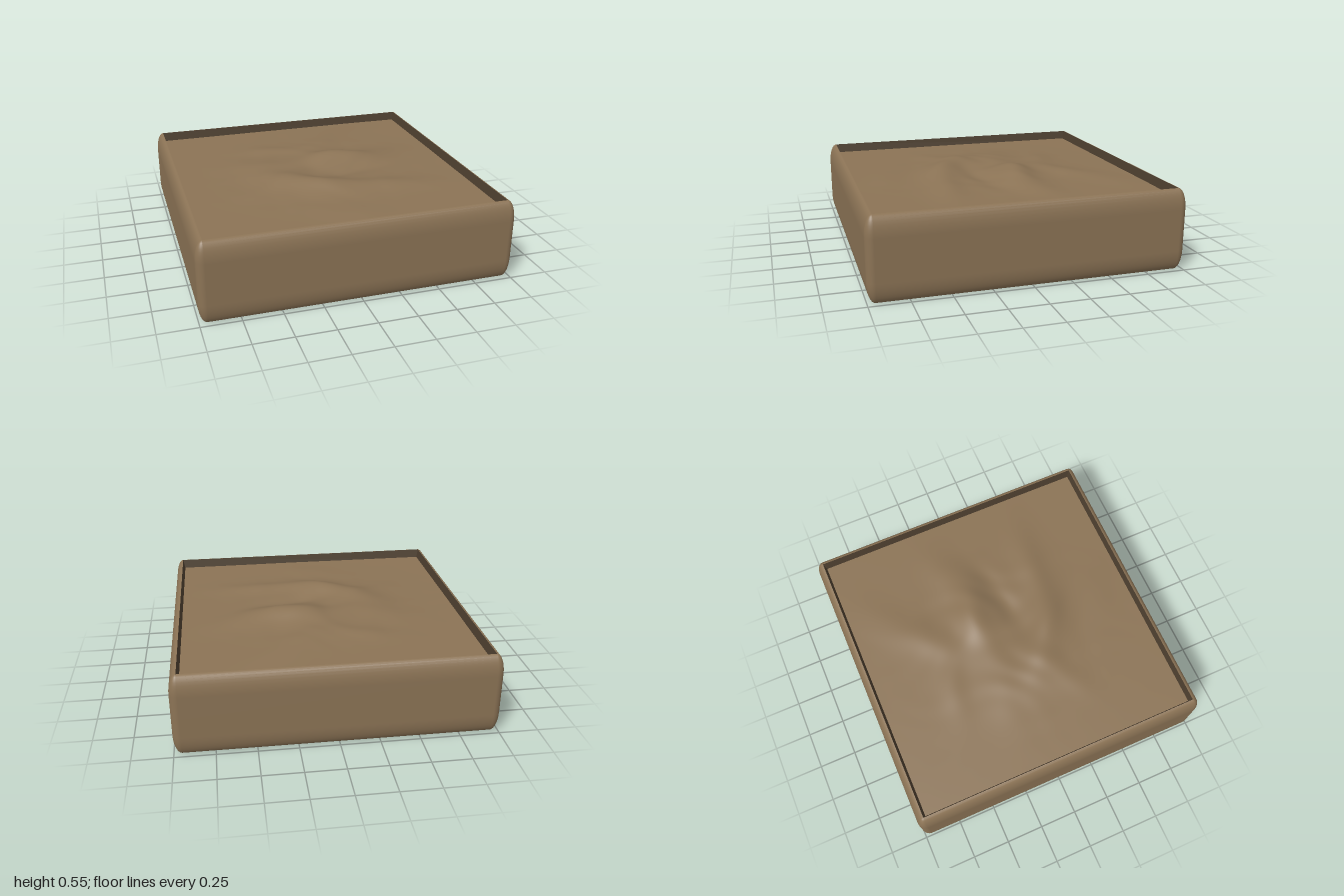
import * as THREE from 'three';

const HEIGHT = 0.53, CORE = 0.95, BULGE = 0.05, BEVEL = 0.13;

// Dunes: [x, z, height, half-length, half-width, angle of the long axis from +x towards +z]
const DUNES = [
  [0.23, -0.13, 0.047, 0.20, 0.10, 0.25],
  [0.10, -0.12, 0.020, 0.14, 0.12, -0.7],
  [0.48, -0.16, 0.018, 0.22, 0.10, -0.3],
  [-0.25, 0.17, 0.036, 0.22, 0.11, 0.75],
  [-0.02, 0.32, 0.030, 0.16, 0.09, 0.5],
  [0.32, 0.38, 0.026, 0.28, 0.09, 0.1],
  [-0.30, -0.12, 0.018, 0.22, 0.10, 0.35],
  [-0.20, -0.45, 0.014, 0.18, 0.08, 0.3],
  [0.12, -0.45, 0.018, 0.22, 0.09, -0.7],
  [0.35, -0.70, 0.008, 0.25, 0.12, -0.5],
  [-0.40, 0.25, 0.010, 0.18, 0.07, -0.5],
  [0.00, 0.72, 0.006, 0.20, 0.10, 0.4],
  [0.22, 0.10, -0.016, 0.22, 0.06, -0.2],
  [0.02, 0.05, -0.010, 0.12, 0.06, 0.6],
];

function sandHeight(x, z) {
  const r2 = x * x + z * z;
  const fade = Math.exp(-r2 / 0.3);
  let y = 0.47 + 0.025 * fade;
  for (const [cx, cz, h, len, wid, a] of DUNES) {
    const dx = x - cx, dz = z - cz;
    const u = (dx * Math.cos(a) + dz * Math.sin(a)) / len;
    const v = (dz * Math.cos(a) - dx * Math.sin(a)) / wid;
    y += h * Math.exp(-(u * u + v * v) / 1.4);
  }
  // small wind ripples
  y += 0.003 * fade * Math.sin(17 * x + 3 * Math.sin(7 * z)) * Math.cos(15 * z - 2 * Math.sin(9 * x));
  return y;
}

// Outer shell: square rings whose corner radius swells and shrinks with height
function shellGeometry() {
  const steps = 8, profile = [];
  for (let i = 0; i <= steps; i++) {
    const t = (i / steps) * Math.PI / 2;
    profile.push([BULGE * Math.sin(t), BEVEL * (1 - Math.cos(t))]);
  }
  for (let i = steps; i >= 0; i--) profile.push([profile[i][0], HEIGHT - profile[i][1]]);

  const pos = [], index = [], count = 4 * (steps + 1);
  for (const [r, y] of profile) {
    for (let c = 0; c < 4; c++) {
      const mid = Math.PI / 4 + c * Math.PI / 2;
      for (let i = 0; i <= steps; i++) {
        const a = (c + i / steps) * Math.PI / 2;
        pos.push(CORE * Math.sign(Math.cos(mid)) + r * Math.cos(a), y,
          CORE * Math.sign(Math.sin(mid)) + r * Math.sin(a));
      }
    }
  }
  for (let j = 0; j < profile.length - 1; j++) {
    for (let i = 0; i < count; i++) {
      const a = j * count + i, b = j * count + (i + 1) % count;
      index.push(a, a + count, b, b, a + count, b + count);
    }
  }
  const g = new THREE.BufferGeometry();
  g.setAttribute('position', new THREE.Float32BufferAttribute(pos, 3));
  g.setIndex(index);
  g.computeVertexNormals();
  return g;
}

export function createModel() {
  const group = new THREE.Group();
  group.name = 'sandTray';
  const sandBrown = new THREE.MeshStandardMaterial({ name: 'sand brown', color: 0x8b7355 });
  const darkBrown = new THREE.MeshStandardMaterial({ name: 'dark brown', color: 0x4d3f2f, side: THREE.DoubleSide });

  const add = (name, geometry, material) => {
    const mesh = new THREE.Mesh(geometry, material);
    mesh.name = name;
    group.add(mesh);
    return mesh;
  };

  add('trayShell', shellGeometry(), sandBrown);
  add('trayBottom', new THREE.PlaneGeometry(2 * CORE, 2 * CORE).rotateX(Math.PI / 2), sandBrown);

  // Inner wall: four flat strips leaning slightly inward
  const wallHeight = 0.07, k = Math.SQRT2;
  const wall = new THREE.CylinderGeometry(CORE * k, 0.935 * k, wallHeight, 4, 1, true)
    .rotateY(Math.PI / 4).toNonIndexed();
  wall.computeVertexNormals();
  wall.translate(0, HEIGHT - wallHeight / 2, 0);
  add('innerWall', wall, darkBrown);

  // Sand surface with dunes
  const sand = new THREE.PlaneGeometry(1.874, 1.874, 96, 96).rotateX(-Math.PI / 2);
  const p = sand.attributes.position;
  for (let i = 0; i < p.count; i++) p.setY(i, sandHeight(p.getX(i), p.getZ(i)));
  sand.computeVertexNormals();
  add('sandSurface', sand, sandBrown);

  return group;
}
